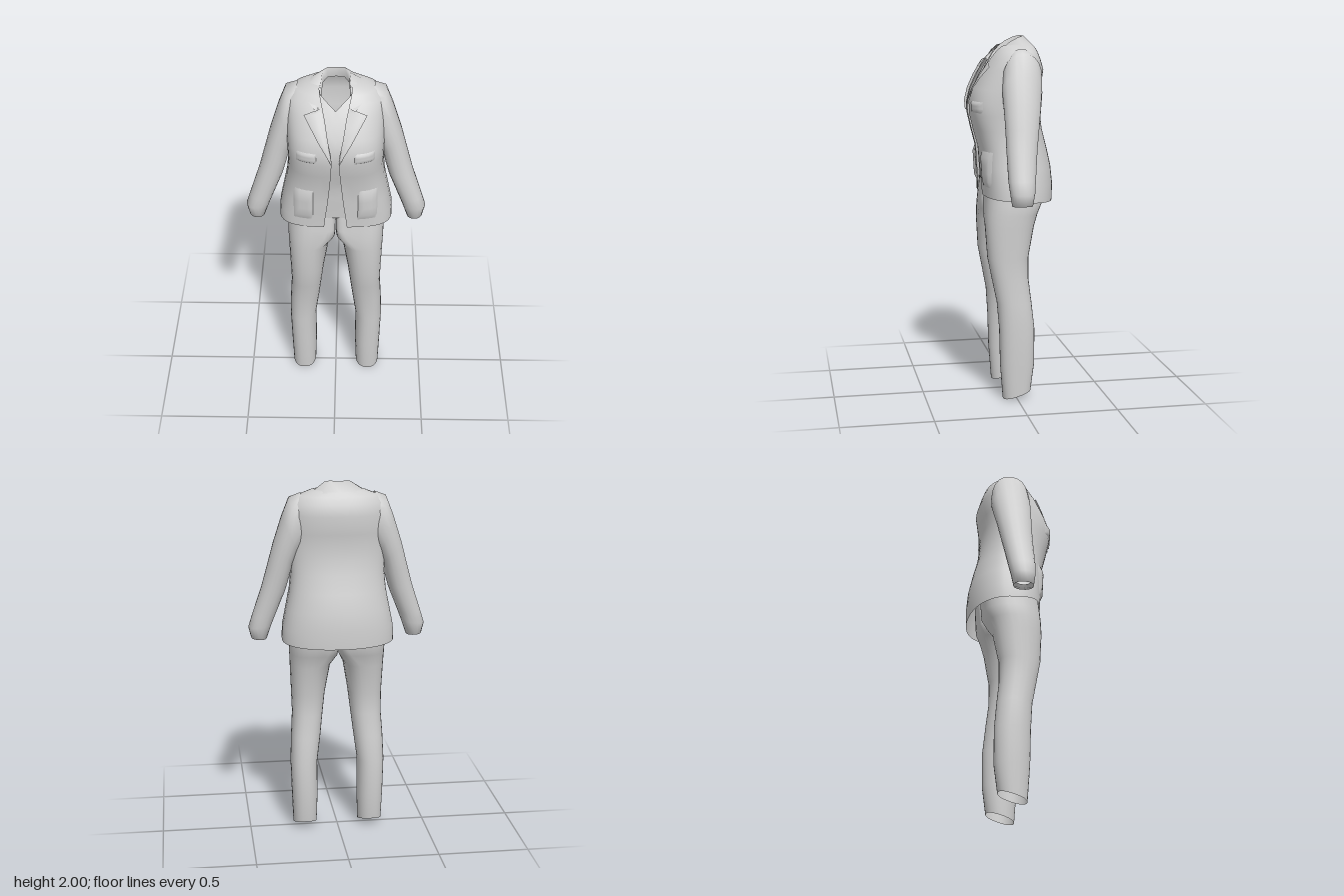
import * as THREE from 'three';

const cloth = new THREE.MeshStandardMaterial({ color: 0xd0d0d0, side: THREE.DoubleSide });
cloth.name = 'light grey cloth';

// Smooth surface through rows of points; closed joins each row into a loop
function loft(name, rows, closed = false) {
  const n = rows[0].length, idx = [];
  const cols = closed ? n : n - 1;
  for (let r = 0; r < rows.length - 1; r++) {
    for (let c = 0; c < cols; c++) {
      const a = r * n + c, b = r * n + (c + 1) % n;
      idx.push(a, b, a + n, b, b + n, a + n);
    }
  }
  const g = new THREE.BufferGeometry();
  g.setAttribute('position', new THREE.Float32BufferAttribute(rows.flat(2), 3));
  g.setIndex(idx);
  g.computeVertexNormals();
  const mesh = new THREE.Mesh(g, cloth);
  mesh.name = name;
  return mesh;
}
const flip = rows => rows.map(r => r.map(([x, y, z]) => [-x, y, z]).reverse());
const spow = (v, p) => Math.sign(v) * Math.pow(Math.abs(v), p);

// Jacket sections: y, half width, front z, back z, half opening, front squareness
const BODY = [
  [1.125, .308, .168, -.222, .062, .62],
  [1.2, .305, .17, -.225, .055, .62],
  [1.3, .285, .178, -.215, .042, .62],
  [1.4, .265, .185, -.192, .032, .62],
  [1.5, .255, .212, -.165, .024, .62],
  [1.58, .257, .23, -.155, .02, .6],
  [1.65, .26, .233, -.15, .022, .62],
  [1.72, .262, .212, -.158, .038, .68],
  [1.82, .265, .162, -.173, .055, .75],
  [1.88, .255, .122, -.155, .07, .8],
  [1.92, .215, .095, -.14, .08, .85],
  [1.945, .15, .075, -.125, .085, .9],
  [1.955, .1, .06, -.1, .08, 1],
];
const CZ = -.03;

function bodyAt(y) {
  const last = BODY.length - 1;
  if (y <= BODY[0][0]) return BODY[0];
  if (y >= BODY[last][0]) return BODY[last];
  const i = BODY.findIndex(b => b[0] > y), a = BODY[i - 1], b = BODY[i];
  const k = (y - a[0]) / (b[0] - a[0]);
  return a.map((v, j) => v + (b[j] - v) * k);
}
// Depth of the jacket front at x, y
function frontZ(x, y) {
  const [, w, zf, , , p] = bodyAt(y);
  const s = Math.min(1, Math.abs(x) / w);
  return CZ + (zf - CZ) * Math.pow(1 - Math.pow(s, 2 / p), p / 2);
}

function jacketBody() {
  const N = 48;
  const rows = BODY.map(([y, w, zf, zb, open, p], r) => {
    const t0 = Math.asin(Math.pow(open / w, 1 / p)), row = [];
    for (let i = 0; i <= N; i++) {
      const t = t0 + (2 * Math.PI - 2 * t0) * i / N;
      const s = Math.sin(t), c = Math.cos(t), e = c > 0 ? p : .9;
      const z = CZ + (c > 0 ? zf - CZ : CZ - zb) * spow(c, e);
      row.push([w * spow(s, e), r === 0 ? y + .08 * z : y, z]);
    }
    return row;
  });
  return loft('jacketBody', rows);
}

// Sleeve sections: outer x, y, inner x, y, front z, back z
const SLEEVE = [
  [.2, 1.935, .17, 1.66, .06, -.11],
  [.262, 1.912, .2, 1.63, .085, -.13],
  [.302, 1.81, .222, 1.6, .09, -.125],
  [.35, 1.66, .245, 1.55, .087, -.11],
  [.385, 1.53, .262, 1.48, .085, -.095],
  [.415, 1.42, .285, 1.4, .085, -.08],
  [.468, 1.26, .345, 1.25, .085, -.06],
  [.49, 1.19, .362, 1.205, .08, -.052],
  [.475, 1.13, .39, 1.125, .07, -.04],
  [.46, 1.15, .405, 1.15, .05, -.02],
];
const sleeveRows = SLEEVE.map(([ox, oy, ix, iy, zf, zb]) =>
  Array.from({ length: 20 }, (_, i) => {
    const t = i / 20 * Math.PI * 2, k = (spow(Math.cos(t), .9) + 1) / 2;
    return [ix + (ox - ix) * k, iy + (oy - iy) * k,
      (zf + zb) / 2 + (zf - zb) / 2 * spow(Math.sin(t), .9)];
  }));

// Trouser sections: y, inner x, outer x, front z, back z, inner squareness
const LEG = [
  [1.24, 0, .25, .145, -.16, .25],
  [1.1, 0, .265, .16, -.15, .25],
  [1.04, .002, .265, .165, -.125, .45],
  [.97, .037, .262, .165, -.102, .85],
  [.8, .066, .255, .155, -.07, .9],
  [.68, .08, .252, .132, -.07, .9],
  [.55, .095, .26, .106, -.085, .9],
  [.4, .115, .266, .095, -.1, .9],
  [.2, .114, .26, .09, -.1, .9],
  [.025, .12, .253, .075, -.08, .9],
];
const legRows = LEG.map(([y, ix, ox, zf, zb, p], r) =>
  Array.from({ length: 28 }, (_, i) => {
    const t = i / 28 * Math.PI * 2, c = Math.cos(t), e = c < 0 ? p : .85;
    const z = (zf + zb) / 2 + (zf - zb) / 2 * spow(Math.sin(t), e);
    return [(ix + ox) / 2 + (ox - ix) / 2 * spow(c, e),
      r === LEG.length - 1 ? y - .3 * z : y, z];
  }));

// Collar: inside, fold and outer edge points from the centre back to the notch
const COLLAR = [
  [[0, 1.935, -.085], [0, 1.995, -.075], [0, 1.945, -.128]],
  [[.045, 1.935, -.075], [.045, 2, -.065], [.09, 1.94, -.118]],
  [[.068, 1.93, -.03], [.07, 1.99, -.03], [.155, 1.932, -.055]],
  [[.072, 1.91, .02], [.076, 1.965, .02], [.168, 1.925, .02]],
  [[.075, 1.88, .06], [.082, 1.92, .065], [.15, 1.9, .085]],
  [[.07, 1.85, .09], [.076, 1.87, .12], [.108, 1.865, .135]],
];
const mirrorX = s => s.map(([x, y, z]) => [-x, y, z]);
const collarRows = [...COLLAR.slice(1).reverse().map(mirrorX), ...COLLAR];

// Lapel: inner x, y and outer x, y, laid just above the jacket front
const LAPEL = [
  [.072, 1.875, .108, 1.862], [.07, 1.855, .163, 1.838], [.056, 1.79, .128, 1.785],
  [.04, 1.72, .085, 1.715], [.025, 1.65, .045, 1.65], [.018, 1.6, .024, 1.6],
];
const lapelRows = LAPEL.map(([ix, iy, ox, oy]) => [0, .35, .7, 1].map(k => {
  const x = ix + (ox - ix) * k, y = iy + (oy - iy) * k;
  return [x, y, frontZ(x, y) + .004 + .012 * Math.sin(k * Math.PI * .7)];
}));

// Raised patch following the jacket front
function pocketRows(x0, x1, yTop, yBottom, depth) {
  return Array.from({ length: 6 }, (_, r) => Array.from({ length: 7 }, (_, c) => {
    const edge = r === 0 || r === 5 || c === 0 || c === 6;
    const x = x0 + (x1 - x0) * Math.min(5.6, Math.max(.4, c)) / 6;
    const y = yTop + (yBottom - yTop) * Math.min(4.8, Math.max(.2, r)) / 5;
    return [x, y, frontZ(x, y) + (edge ? -.002 : depth)];
  }));
}

// Shirt front with a V neck, tucked behind the jacket edges
function shirt() {
  const rows = [];
  for (let r = 0; r <= 14; r++) {
    rows.push(Array.from({ length: 13 }, (_, c) => {
      const u = c / 6 - 1, x = u * .11;
      const y = 1.19 + (1.85 + .095 * Math.abs(u) - 1.19) * r / 14;
      return [x, y, frontZ(x, y) - .018];
    }));
  }
  return loft('shirtFront', rows);
}

export function createModel() {
  const model = new THREE.Group();
  model.name = 'trouserSuit';
  model.add(jacketBody(), shirt(), loft('collar', collarRows));

  // Paired parts, built on the left and mirrored
  const pairs = [
    ['Sleeve', sleeveRows, true],
    ['TrouserLeg', legRows, true],
    ['Lapel', lapelRows, false],
    ['ChestPocket', pocketRows(.09, .215, 1.66, 1.59, .008), false],
    ['HipPocket', pocketRows(.11, .235, 1.4, 1.18, .012), false],
  ];
  for (const [name, rows, closed] of pairs) {
    model.add(loft('left' + name, rows, closed), loft('right' + name, flip(rows), closed));
  }
  return model;
}
